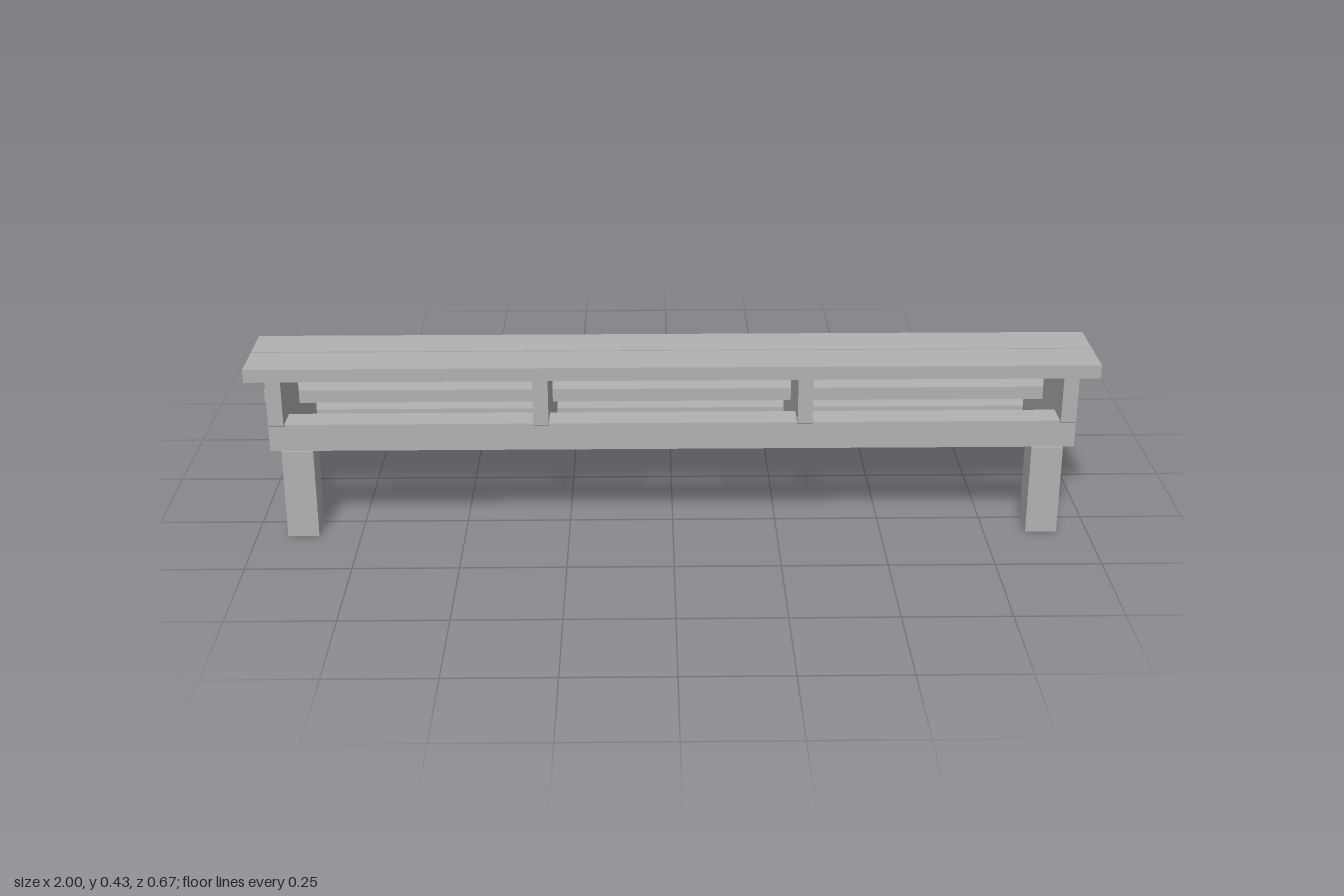
import * as THREE from 'three';

export function createModel() {
  const model = new THREE.Group();
  model.name = 'steppedBench';
  const grey = new THREE.MeshStandardMaterial({ color: 0xb2b2b2 });
  grey.name = 'grey';

  const add = (name, geometry) => {
    const mesh = new THREE.Mesh(geometry, grey);
    mesh.name = name;
    model.add(mesh);
    return mesh;
  };
  // Box given by its limits on each axis
  const box = (name, [x0, x1], [y0, y1], [z0, z1]) =>
    add(name, new THREE.BoxGeometry(x1 - x0, y1 - y0, z1 - z0))
      .position.set((x0 + x1) / 2, (y0 + y1) / 2, (z0 + z1) / 2);

  // Three tiers, each of two planks with a narrow gap
  const tiers = [
    { name: 'lowerPlank', y: 0.113, z: -0.222 },
    { name: 'middlePlank', y: 0.257, z: 0.001 },
    { name: 'upperPlank', y: 0.401, z: 0.224 },
  ];
  for (const { name, y, z } of tiers) {
    box(name, [-1, 1], [y, y + 0.0325], [z - 0.111, z - 0.0025]);
    box(name, [-1, 1], [y, y + 0.0325], [z + 0.0025, z + 0.111]);
  }

  // Stepped side supports, profile drawn in z and y
  const profile = new THREE.Shape([
    [-0.333, 0], [-0.178, 0], [0.333, 0.289], [0.333, 0.401], [0.113, 0.401],
    [0.113, 0.257], [-0.111, 0.257], [-0.111, 0.113], [-0.333, 0.113],
  ].map(([z, y]) => new THREE.Vector2(z, y)));
  const thickness = 0.036;
  const stringer = new THREE.ExtrudeGeometry(profile, { depth: thickness, bevelEnabled: false });
  stringer.translate(0, 0, -thickness / 2).rotateY(-Math.PI / 2);
  for (const x of [-0.933, -0.311, 0.311, 0.933]) add('stringer', stringer).position.x = x;

  // Cross beam resting on two front legs
  box('crossBeam', [-0.953, 0.953], [0.222, 0.289], [0.257, 0.324]);
  box('leftLeg', [0.851, 0.926], [0, 0.222], [0.252, 0.329]);
  box('rightLeg', [-0.926, -0.851], [0, 0.222], [0.252, 0.329]);

  return model;
}
